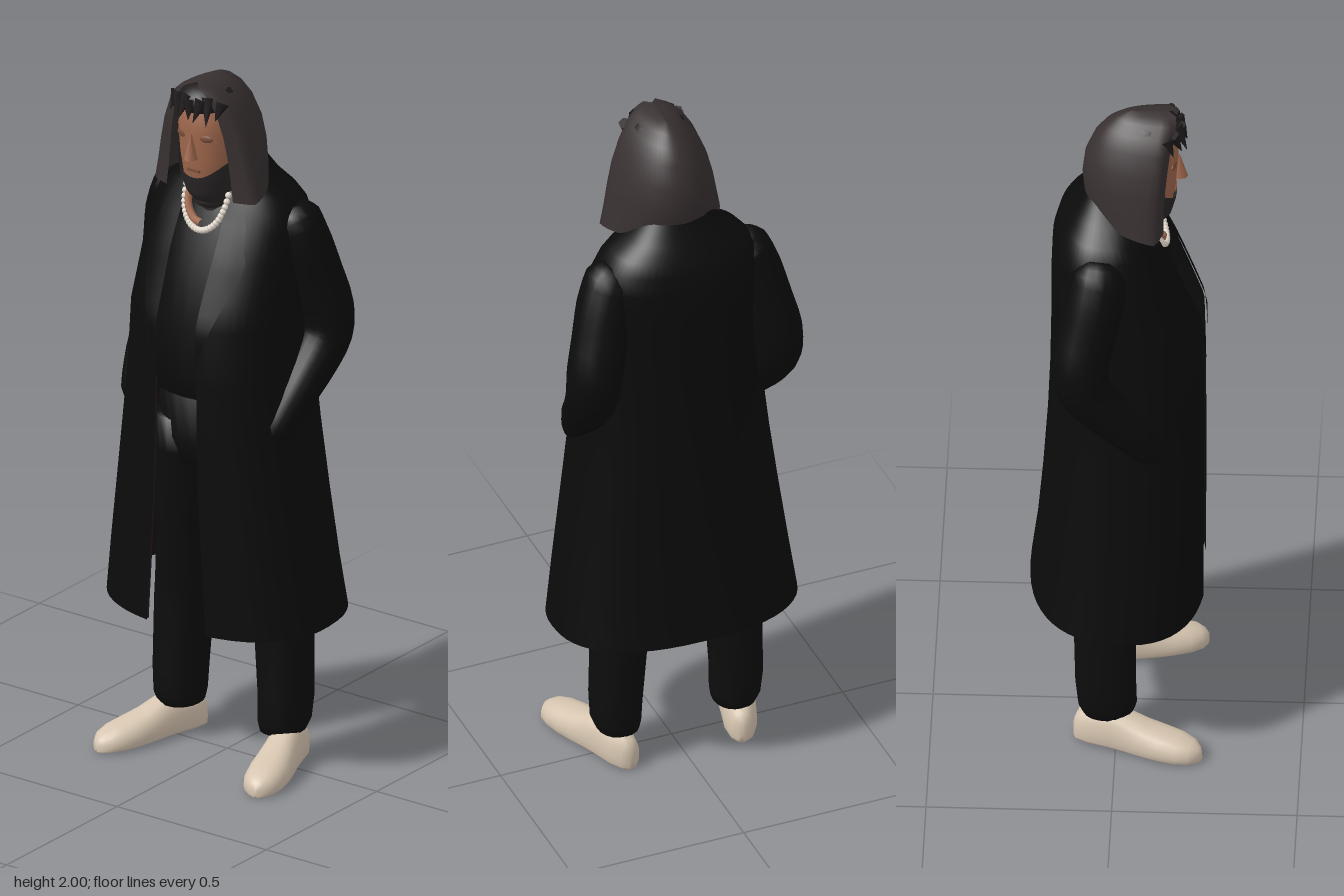
import * as THREE from 'three';

const mat = (name, color, side = THREE.FrontSide) => {
  const m = new THREE.MeshStandardMaterial({ color, side });
  m.name = name;
  return m;
};

// Surface through rows of points; columns run counterclockwise about the row axis.
function loft(rows, closed = true, caps = closed) {
  const n = rows[0].length, pos = rows.flat(2), idx = [];
  const cols = closed ? n : n - 1;
  for (let i = 0; i < rows.length - 1; i++)
    for (let j = 0; j < cols; j++) {
      const a = i * n + j, b = i * n + (j + 1) % n;
      idx.push(a, b, a + n, b, b + n, a + n);
    }
  if (caps) [0, rows.length - 1].forEach((r, end) => {
    const c = pos.length / 3;
    for (let k = 0; k < 3; k++) pos.push(rows[r].reduce((s, p) => s + p[k], 0) / n);
    for (let j = 0; j < n; j++) {
      const a = r * n + j, b = r * n + (j + 1) % n;
      idx.push(c, end ? a : b, end ? b : a);
    }
  });
  const g = new THREE.BufferGeometry();
  g.setAttribute('position', new THREE.Float32BufferAttribute(pos, 3));
  g.setIndex(idx);
  g.computeVertexNormals();
  return g;
}

const mirror = rows => rows.map(r => r.map(([x, y, z]) => [-x, y, z]).reverse());
const range = (n, f) => Array.from({ length: n }, (_, i) => f(i));
const spow = (v, p) => Math.sign(v) * Math.abs(v) ** p;

// Interpolates a table of [key, ...values]
function sample(table, k) {
  let i = 0;
  while (i < table.length - 2 && k > table[i + 1][0]) i++;
  const a = table[i], b = table[i + 1];
  const t = THREE.MathUtils.clamp((k - a[0]) / (b[0] - a[0]), 0, 1);
  return a.map((v, j) => v + (b[j] - v) * t);
}

// Closed rings from [y, halfWidth, zFront, zBack, xCentre]
const rings = (table, n = 28, e = 0.9) => table.map(([y, w, zf, zb, cx = 0]) =>
  range(n, j => {
    const t = j / n * Math.PI * 2;
    return [cx + w * spow(Math.sin(t), e), y, (zf + zb) / 2 + (zf - zb) / 2 * spow(Math.cos(t), e)];
  }));

export function createModel() {
  const root = new THREE.Group();
  root.name = 'hoodedMan';
  const coat = mat('coat black', 0x0b0b0b, THREE.DoubleSide);
  const lining = mat('dark lining', 0x160f14, THREE.DoubleSide);
  const cloth = mat('clothes black', 0x0d0d0e);
  const hoodMat = mat('hood charcoal', 0x383031, THREE.DoubleSide);
  const skin = mat('skin', 0xa0684d);
  const shade = mat('skin shade', 0x7b4e3a);
  const hair = mat('hair', 0x1f1b1c);
  const beardMat = mat('beard', 0x2b2627, THREE.DoubleSide);
  const shoeMat = mat('shoe beige', 0xd6c5b0);
  const silver = mat('chain pale', 0xe2d8cc);
  const add = (name, geo, m, parent = root) => {
    const mesh = new THREE.Mesh(geo, m);
    mesh.name = name;
    parent.add(mesh);
    return mesh;
  };

  // Long open coat: y, half width, front z, back z, half opening
  const coatTable = [
    [0.45, 0.345, 0.237, -0.237, 0.098], [0.6, 0.325, 0.237, -0.22, 0.088],
    [0.8, 0.298, 0.237, -0.203, 0.076], [1.0, 0.272, 0.237, -0.19, 0.07],
    [1.15, 0.255, 0.237, -0.184, 0.068], [1.32, 0.245, 0.233, -0.181, 0.068],
    [1.4, 0.24, 0.204, -0.181, 0.07], [1.5, 0.236, 0.165, -0.18, 0.075],
    [1.58, 0.23, 0.127, -0.177, 0.075], [1.63, 0.215, 0.102, -0.163, 0.072],
    [1.665, 0.185, 0.088, -0.145, 0.07], [1.7, 0.135, 0.072, -0.12, 0.068],
    [1.75, 0.095, 0.05, -0.09, 0.065]];
  const N = 2.4;
  const coatRows = (table, inset) => table.map(([y, w0, zf, zb, o]) => {
    const w = w0 - inset, c = (zf + zb) / 2, h = (zf - zb) / 2 - inset;
    const t0 = Math.asin((o / w) ** (N / 2));
    return range(49, j => {
      const t = t0 + (2 * Math.PI - 2 * t0) * j / 48;
      const z = c + h * spow(Math.cos(t), 2 / N);
      return [w * spow(Math.sin(t), 2 / N), y < 0.5 ? y - z * 0.065 : y, z];
    });
  });
  add('coat', loft(coatRows(coatTable, 0), false), coat);
  add('coatLining', loft(coatRows(coatTable.slice(0, 5), 0.008), false), lining);

  // Lapels lie just above the coat front
  const frontZ = (x, y) => {
    const [, w, zf, zb] = sample(coatTable, y);
    return (zf + zb) / 2 + (zf - zb) / 2 * (1 - Math.min(1, x / w) ** N) ** (1 / N);
  };
  const lapelTable = [[1.22, 0.07], [1.35, 0.115], [1.5, 0.165], [1.53, 0.15], [1.6, 0.14], [1.68, 0.1]];
  const lapel = range(17, i => {
    const y = 1.22 + 0.46 * i / 16, inner = sample(coatTable, y)[4] - 0.003, outer = sample(lapelTable, y)[1];
    return range(5, j => {
      const x = inner + (outer - inner) * j / 4;
      return [x, y, frontZ(x, y) + 0.007];
    });
  });

  // Sleeves bend at the elbow and end in the pockets: x, y, z, radius
  const arm = [[0.17, 1.615, -0.04, 0.05], [0.19, 1.585, -0.043, 0.076], [0.216, 1.51, -0.055, 0.08],
    [0.24, 1.42, -0.075, 0.078], [0.262, 1.33, -0.092, 0.077], [0.266, 1.26, -0.085, 0.073],
    [0.257, 1.19, -0.04, 0.068], [0.245, 1.11, 0.03, 0.06], [0.228, 1.03, 0.09, 0.05], [0.215, 0.99, 0.11, 0.025]];
  const armCurve = new THREE.CatmullRomCurve3(arm.map(p => new THREE.Vector3(p[0], p[1], p[2])));
  const armRows = range(28, i => {
    const u = 1 - i / 27, c = armCurve.getPoint(u), t = armCurve.getTangent(u).negate();
    const r = sample(arm.map((p, k) => [k / (arm.length - 1), p[3]]), u)[1];
    const side = new THREE.Vector3(1, 0, 0).addScaledVector(t, -t.x).normalize();
    const front = new THREE.Vector3().crossVectors(side, t);
    return range(18, j => {
      const a = j / 18 * Math.PI * 2;
      return c.clone().addScaledVector(side, r * Math.sin(a)).addScaledVector(front, r * Math.cos(a)).toArray();
    });
  });

  // Trouser leg
  const legRows = rings([[0.1, 0.058, 0.045, -0.09, 0.17], [0.13, 0.066, 0.056, -0.103, 0.174],
    [0.2, 0.07, 0.054, -0.11, 0.176], [0.4, 0.077, 0.052, -0.115, 0.167], [0.47, 0.08, 0.06, -0.115, 0.156],
    [0.7, 0.085, 0.11, -0.115, 0.118], [0.9, 0.09, 0.155, -0.12, 0.088], [1.0, 0.09, 0.16, -0.12, 0.085]], 20);

  // Shoe, heel to toe: distance, half width, height
  const shoeRows = [[0, 0.012, 0.06], [0.012, 0.032, 0.09], [0.05, 0.045, 0.113], [0.11, 0.048, 0.122],
    [0.15, 0.05, 0.11], [0.2, 0.055, 0.09], [0.25, 0.058, 0.077], [0.3, 0.055, 0.066], [0.335, 0.043, 0.054],
    [0.354, 0.024, 0.04], [0.362, 0.006, 0.026]].map(([s, w, h]) => range(22, j => {
    const a = j / 22 * Math.PI * 2, x = w * spow(Math.cos(a), 0.8);
    const y = 0.004 + h * (0.35 + (Math.sin(a) > 0 ? 0.65 * Math.sin(a) : 0.35 * spow(Math.sin(a), 0.45)));
    return [0.16 + x * 0.955 + s * 0.295, y, -0.112 + s * 0.955 - x * 0.295];
  }));

  for (const [side, flip] of [['left', r => r], ['right', mirror]]) {
    add(side + 'Lapel', loft(flip(lapel), false), coat);
    add(side + 'Sleeve', loft(flip(armRows)), coat);
    add(side + 'TrouserLeg', loft(flip(legRows)), cloth);
    add(side + 'Shoe', loft(flip(shoeRows)), shoeMat);
  }

  // Shirt and hips
  add('hips', loft(rings([[0.88, 0.13, 0.15, -0.12], [0.95, 0.17, 0.165, -0.13], [1.14, 0.175, 0.18, -0.13]])), cloth);
  add('shirt', loft(rings([[1.1, 0.18, 0.2, -0.13], [1.3, 0.185, 0.195, -0.13], [1.45, 0.18, 0.155, -0.13],
    [1.55, 0.17, 0.117, -0.12], [1.62, 0.11, 0.085, -0.09], [1.65, 0.075, 0.07, -0.06]])), cloth);

  // Head and neck
  const headTable = [[1.64, 0.04, 0.11, -0.02], [1.67, 0.06, 0.135, -0.03], [1.72, 0.076, 0.148, -0.04],
    [1.78, 0.085, 0.157, -0.05], [1.86, 0.09, 0.162, -0.05], [1.92, 0.088, 0.16, -0.045], [1.96, 0.065, 0.13, -0.02]];
  const head = new THREE.Group();
  head.name = 'head';
  root.add(head);
  add('face', loft(rings(headTable)), skin, head);
  add('neck', new THREE.CylinderGeometry(0.058, 0.064, 0.14, 24).translate(0, 1.64, 0.028), beardMat, head);
  add('nose', new THREE.ConeGeometry(0.018, 0.075, 8).scale(1, 1, 1.3).translate(0, 1.822, 0.164), skin, head);
  add('mouth', new THREE.BoxGeometry(0.04, 0.007, 0.008).translate(0, 1.747, 0.153), shade, head);
  for (const s of [1, -1]) {
    add('eyeSocket', new THREE.SphereGeometry(1, 12, 8).scale(0.022, 0.011, 0.005)
      .rotateY(s * 0.25).translate(s * 0.038, 1.847, 0.151), shade, head);
    add('ear', new THREE.SphereGeometry(1, 10, 8).scale(0.012, 0.032, 0.02).translate(s * 0.088, 1.82, 0.04), skin, head);
  }

  // Beard follows the jaw and rises towards the ears
  add('beard', loft(range(9, i => range(25, j => {
    const a = (j / 24 - 0.5) * Math.PI * 1.1, t = i / 8;
    const y = 1.635 + t * (0.092 + 0.06 * Math.sin(a) ** 2);
    const [, w, zf, zb] = sample(headTable, y), d = 0.008;
    return [(w + d) * spow(Math.sin(a), 0.9), y, (zf + zb) / 2 + ((zf - zb) / 2 + d) * spow(Math.cos(a), 0.9)];
  })), false), beardMat, head);
  add('beardUnderside', new THREE.SphereGeometry(1, 20, 10).scale(0.05, 0.03, 0.06).translate(0, 1.645, 0.065), beardMat, head);

  // Hair with a ragged fringe
  add('hair', new THREE.SphereGeometry(1, 24, 14).scale(0.08, 0.05, 0.085).translate(0, 1.943, 0.088), hair, head);
  range(7, i => {
    const x = -0.075 + i * 0.025;
    const lock = add('fringeLock', new THREE.ConeGeometry(0.019, 0.055 + (i % 3) * 0.012, 6).rotateX(Math.PI), hair, head);
    lock.position.set(x, 1.93, 0.175 - x * x * 6);
    lock.rotation.set(-0.4, 0, (i % 2 - 0.5) * 0.35);
  });

  // Hood: y, half width, side edge z, back z; the rim curls in around the face
  const hoodTable = [[1.67, 0.168, 0.1, -0.072], [1.73, 0.157, 0.1, -0.09], [1.8, 0.144, 0.104, -0.097],
    [1.86, 0.129, 0.11, -0.09], [1.92, 0.105, 0.118, -0.066], [1.96, 0.08, 0.127, -0.036],
    [1.985, 0.052, 0.132, -0.004], [1.996, 0.026, 0.13, 0.02], [2.0, 0, 0.11, 0.035]];
  const hoodRows = hoodTable.map(([y, w, zf, zb], i) => {
    const arc = range(29, j => {
      const a = Math.PI / 2 + Math.PI * j / 28, back = -Math.cos(a);
      return [w * spow(Math.sin(a), 0.95), y + (i ? 0 : 0.035 * back), zf - (zf - zb) * back];
    });
    const rim = s => [[s * w * 0.9, y, zf + 0.012], [s * w * 0.66, y, zf + 0.025]];
    return [...rim(1).reverse(), ...arc, ...rim(-1)];
  });
  add('hood', loft(hoodRows, false), hoodMat);

  // Necklace of round links, with a strip of bare neck beside it
  const chain = new THREE.Group();
  chain.name = 'necklace';
  root.add(chain);
  range(25, i => {
    const a = Math.PI * i / 24, x = -0.07 * Math.cos(a), y = 1.67 - 0.105 * Math.sin(a) ** 0.9;
    add('link', new THREE.SphereGeometry(0.0095, 8, 6).translate(x, y, 0.09 + (1.67 - y) * 0.38), silver, chain);
  });
  const bare = new THREE.CatmullRomCurve3([[-0.06, 1.675, 0.085], [-0.052, 1.62, 0.107], [-0.025, 1.588, 0.117],
    [0, 1.582, 0.12]].map(p => new THREE.Vector3(...p)));
  add('bareNeck', new THREE.TubeGeometry(bare, 14, 0.011, 8), skin);

  return root;
}
